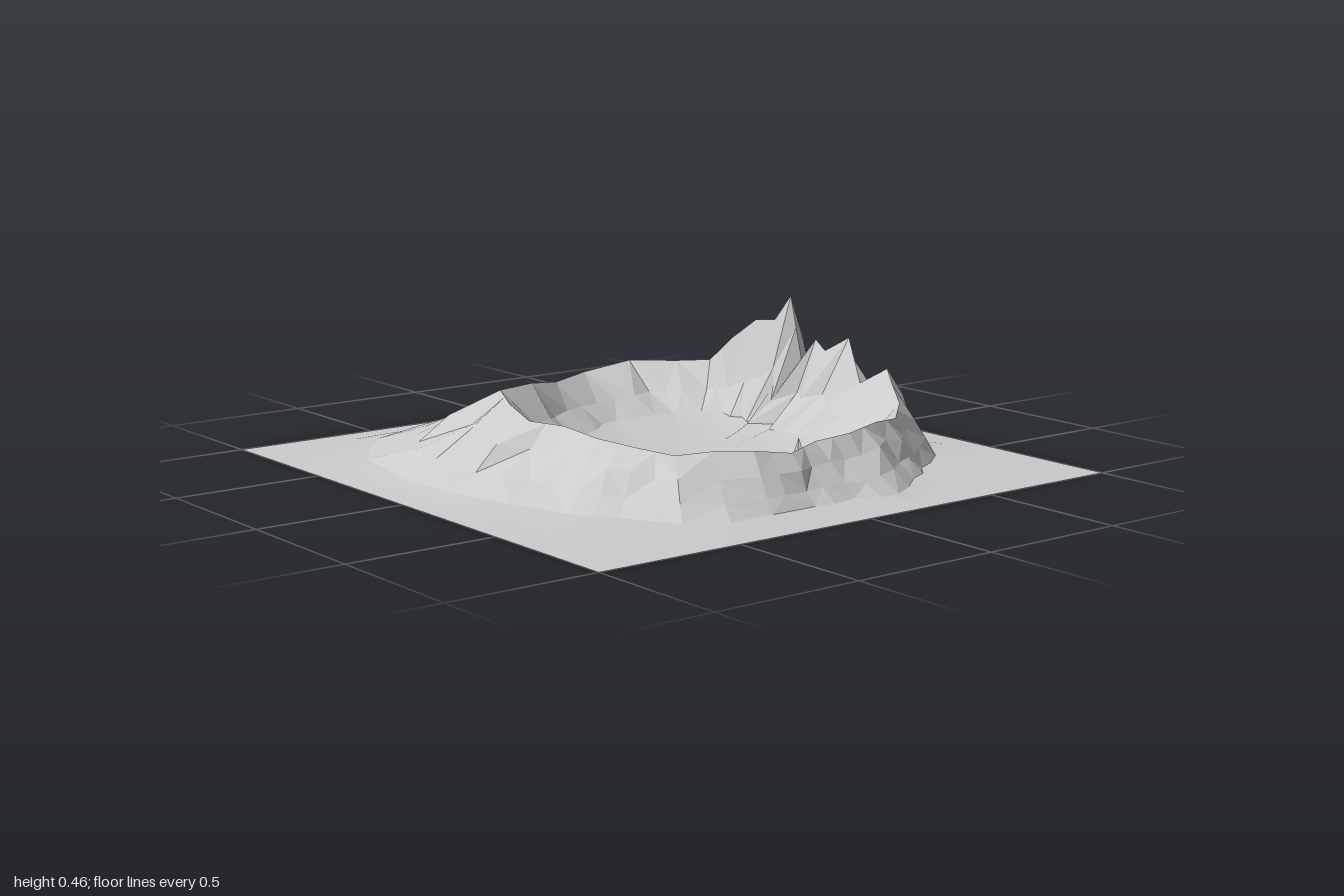
import * as THREE from 'three';

// Stations run clockwise seen from above, starting at the tall east peak.
// Crest of the ridge: x, z, height
const CREST = [
  .69, -.17, .46, .68, -.10, .25, .71, -.06, .32, .70, 0, .29, .745, .07, .34, .68, .20, .21,
  .71, .30, .27, .64, .40, .24, .58, .50, .20, .47, .60, .18, .35, .64, .19, .20, .68, .18,
  .07, .67, .17, -.07, .72, .16, -.20, .70, .18, -.30, .63, .18, -.40, .57, .17, -.45, .45, .18,
  -.49, .30, .19, -.49, .13, .20, -.53, 0, .20, -.48, -.18, .22, -.40, -.35, .23, -.22, -.43, .22,
  -.02, -.57, .18, .20, -.71, .17, .40, -.71, .19, .53, -.60, .19, .60, -.50, .20, .62, -.40, .29,
  .66, -.32, .36, .67, -.23, .37,
];
// Foot of the inner wall: x, z
const INNER = [
  .48, -.15, .45, -.10, .53, -.05, .44, 0, .46, .06, .49, .17, .41, .27, .40, .38,
  .38, .45, .32, .48, .22, .50, .12, .50, .03, .50, -.07, .52, -.17, .50, -.25, .46,
  -.32, .40, -.33, .32, -.34, .20, -.33, .10, -.33, 0, -.30, -.12, -.23, -.22, -.10, -.30,
  .05, -.40, .22, -.42, .36, -.44, .42, -.40, .46, -.37, .50, -.30, .48, -.25, .51, -.20,
];
// Foot of the outer slope: x, z
const OUTER = [
  .82, -.15, .81, -.10, .81, -.03, .81, .03, .81, .12, .83, .28, .82, .36, .74, .45,
  .70, .55, .55, .66, .42, .75, .22, .88, .08, .84, -.08, .85, -.25, .85, -.40, .83,
  -.53, .77, -.63, .60, -.72, .45, -.79, .25, -.83, 0, -.85, -.25, -.80, -.55, -.58, -.80,
  -.28, -.92, .12, -.95, .42, -.87, .66, -.73, .78, -.62, .82, -.45, .83, -.32, .83, -.22,
];
const STATIONS = CREST.length / 3;
const CENTRE = new THREE.Vector3(.08, .02, .05);

function seeded(seed) {
  return () => {
    seed = (seed * 16807) % 2147483647;
    return seed / 2147483647 - .5;
  };
}

const crestPoint = i => {
  const k = (i % STATIONS) * 3;
  return new THREE.Vector3(CREST[k], CREST[k + 2], CREST[k + 1]);
};
const footPoint = (table, y) => i => {
  const k = (i % STATIONS) * 2;
  return new THREE.Vector3(table[k], y, table[k + 1]);
};

// Closed ring of the stations, with a point added wherever the crest has a long gap
function ringFrom(point) {
  const ring = [];
  for (let i = 0; i < STATIONS; i++) {
    ring.push(point(i));
    if (crestPoint(i).distanceTo(crestPoint(i + 1)) > .125) {
      ring.push(point(i).lerp(point(i + 1), .5));
    }
  }
  return ring;
}

// Ring part-way between two others, at a share of the height, slightly jittered
function between(a, b, t, share, rough, rnd) {
  return a.map((p, i) => {
    const v = p.clone().lerp(b[i], t + rnd() * rough * 2);
    v.y = b[i].y + (p.y - b[i].y) * (share(v) + rnd() * rough);
    return v;
  });
}

// Skin neighbouring rings, from the innermost to the outermost
function skin(name, rings, flat) {
  const n = rings[0].length, index = [];
  for (let r = 0; r < rings.length - 1; r++) {
    for (let i = 0; i < n; i++) {
      const j = (i + 1) % n;
      const a = r * n + i, b = r * n + j, c = a + n, d = b + n;
      if (i % 2) index.push(a, b, c, b, d, c);
      else index.push(a, b, d, a, d, c);
    }
  }
  const geo = new THREE.BufferGeometry().setFromPoints(rings.flat());
  geo.setIndex(index);
  geo.computeVertexNormals();
  return part(name, geo, flat);
}

function part(name, geo, flatShading) {
  const mesh = new THREE.Mesh(geo, new THREE.MeshStandardMaterial({
    color: 0xcccccc, side: THREE.DoubleSide, flatShading,
  }));
  mesh.name = name;
  return mesh;
}

export function createModel() {
  const rnd = seeded(4211);
  const crest = ringFrom(crestPoint);
  const inner = ringFrom(footPoint(INNER, .05));
  const outer = ringFrom(footPoint(OUTER, .018));

  // Uneven feet
  for (const p of [...inner, ...outer]) {
    p.x += rnd() * .025;
    p.z += rnd() * .025;
  }

  // Square border: push each point out to the edge, then snap four to corners
  const border = outer.map(p => {
    const k = 1 / Math.max(Math.abs(p.x), Math.abs(p.z));
    return new THREE.Vector3(p.x * k, 0, p.z * k);
  });
  for (const x of [-1, 1]) for (const z of [-1, 1]) {
    const corner = new THREE.Vector3(x, 0, z);
    border.reduce((m, p) => p.distanceTo(corner) < m.distanceTo(corner) ? p : m).copy(corner);
  }

  // Flanks sag towards the ground, but run straight on the steep east side
  const flank = k => p => k + .06 * THREE.MathUtils.smoothstep(p.x, .2, .6);
  const wall = between(crest, inner, .5, () => .36, .1, rnd);
  const upper = between(crest, outer, .33, flank(.62), .1, rnd);
  const lower = between(crest, outer, .67, flank(.26), .07, rnd);
  const apron = between(outer, border, .45, () => .3, 0, rnd);

  // Crater floor, a shallow smooth bowl that curls up into the wall
  const floorRing = s => inner.map(p => {
    const v = CENTRE.clone().lerp(p, s);
    v.y = .02 + .03 * s ** 3;
    return v;
  });

  // Thin spike of rock on the crater floor
  const spike = part('floorSpike', new THREE.ConeGeometry(.035, .1, 4), true);
  spike.scale.x = .5;
  spike.rotation.y = .4;
  spike.position.set(.22, .07, .42);

  const group = new THREE.Group();
  group.name = 'craterTerrain';
  group.add(
    skin('craterFloor', [floorRing(0), floorRing(.35), floorRing(.6), floorRing(.8), inner], false),
    skin('craterRidge', [inner, wall, crest, upper, lower, outer], true),
    skin('surroundingGround', [outer, apron, border], false),
    spike,
  );
  return group;
}
